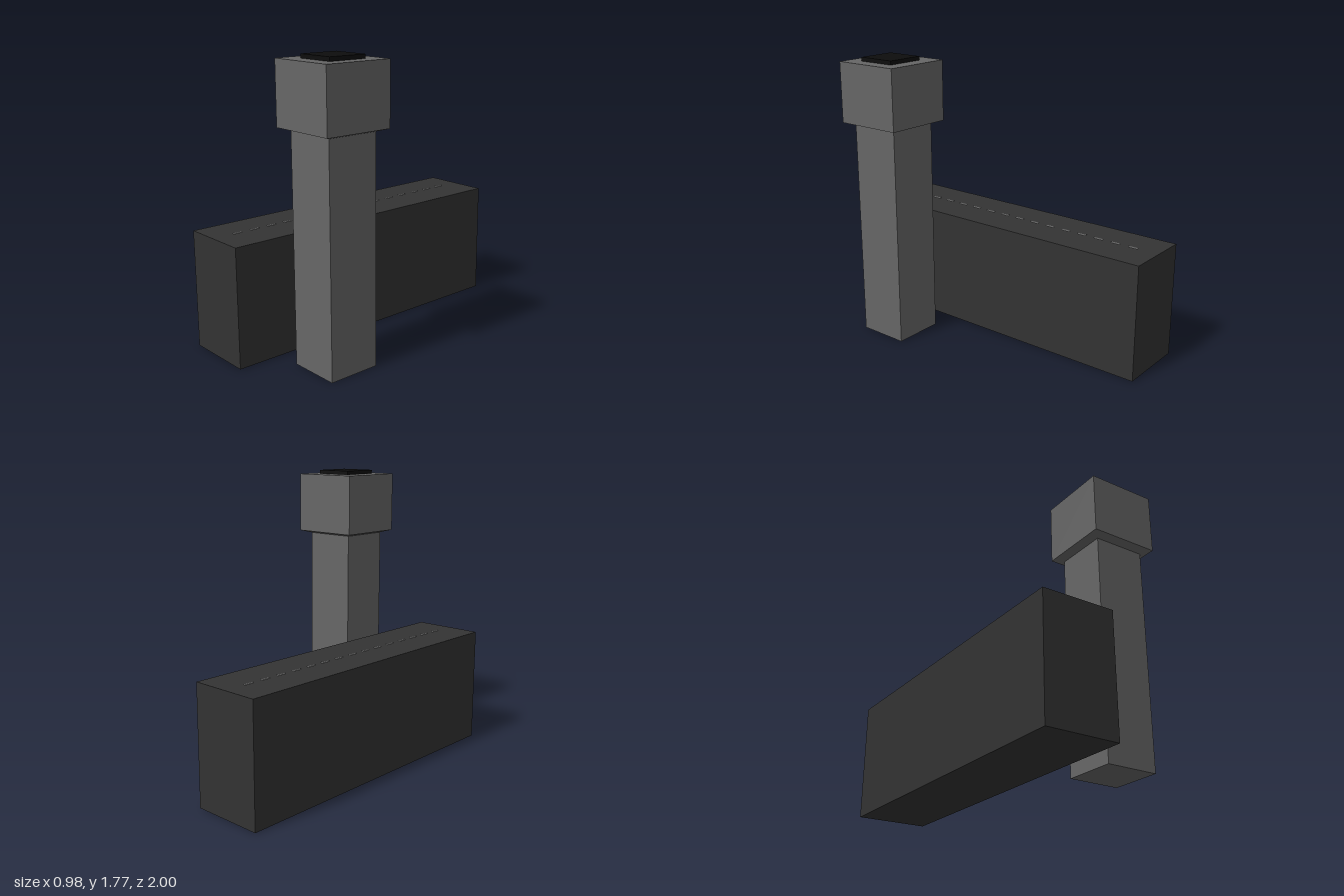
import * as THREE from 'three';

const material = (color) => new THREE.MeshStandardMaterial({ color, flatShading: true });

export function createModel() {
  const model = new THREE.Group();
  model.name = 'roadAndTower';
  const asphalt = material(0x333333);
  const concrete = material(0x666666);
  const black = material(0x0d0d0d);
  const paint = material(0xb8b8b8);

  // Box placed by its centre in x and z, and its bottom and top heights
  const addBox = (parent, name, mat, w, d, bottom, top, x, z) => {
    const mesh = new THREE.Mesh(new THREE.BoxGeometry(w, top - bottom, d), mat);
    mesh.position.set(x, (bottom + top) / 2, z);
    mesh.name = name;
    parent.add(mesh);
  };

  // Raised road block with a dashed centre line
  const road = new THREE.Group();
  road.name = 'road';
  addBox(road, 'roadBlock', asphalt, 0.443, 2, 0, 0.722, -0.268, 0);
  for (let i = 0; i < 15; i++) {
    addBox(road, 'laneDash', paint, 0.012, 0.058, 0.72, 0.727, -0.277, (i - 7) * 0.119);
  }
  model.add(road);

  // Square tower: shaft, flared collar, wider head and roof hatch
  const tower = new THREE.Group();
  tower.name = 'tower';
  const x = 0.272, z = 0.56, shaft = 0.323, head = 0.431;
  addBox(tower, 'towerShaft', concrete, shaft, shaft, 0, 1.36, x, z);
  addBox(tower, 'towerHead', concrete, head, head, 1.376, 1.747, x, z);
  addBox(tower, 'roofHatch', black, 0.242, 0.242, 1.747, 1.771, 0.278, z);

  const collar = new THREE.Mesh(
    new THREE.CylinderGeometry(head / Math.SQRT2, shaft / Math.SQRT2, 0.016, 4, 1, true).rotateY(Math.PI / 4),
    concrete
  );
  collar.position.set(x, 1.368, z);
  collar.name = 'towerCollar';
  tower.add(collar);
  model.add(tower);

  return model;
}
